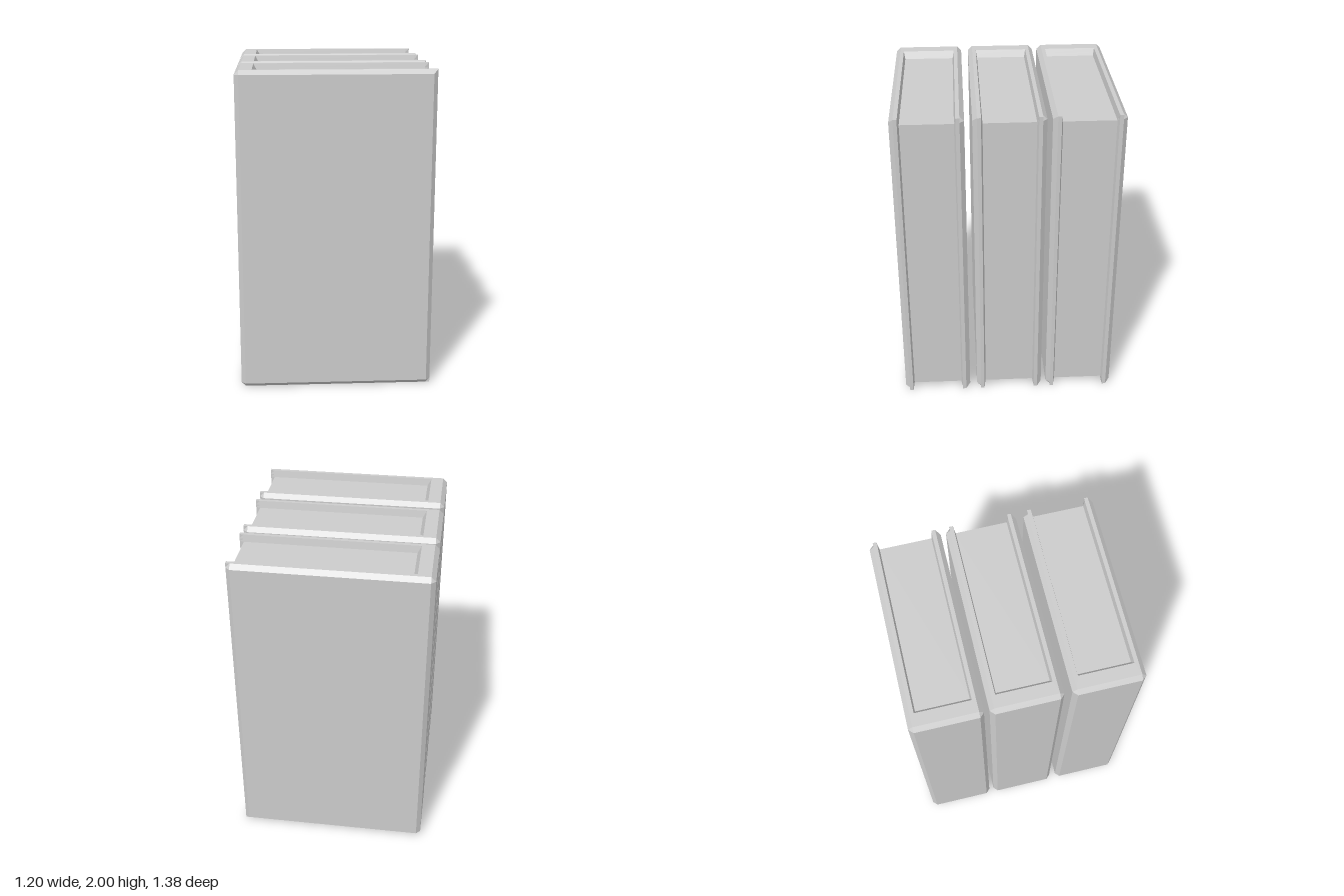
import * as THREE from 'three';

const HEIGHT = 2, HALF_X = 0.6, HALF_Z = 0.217;
const BEVEL = 0.027;            // chamfer on the outside of the cover
const PAGE_INSET = 0.045;       // pages sit below the cover's top and bottom
const PAGE_X = -0.472, PAGE_Z = 0.158;

// U-shaped outline of the cover: inset pulls the outside in, flare opens the inside
function coverSection(y, inset, flare) {
  const x = HALF_X, bx = HALF_X - BEVEL;
  const z = HALF_Z - inset, bz = HALF_Z - BEVEL;
  const iz = PAGE_Z + 0.008 * flare, ix = PAGE_X - 0.023 * flare;
  const half = [[x, bz], [bx, z], [-bx, z], [-x + inset, bz]];
  const inner = [[x, -PAGE_Z - 0.009], [bx, -iz], [ix, -iz]];
  const mirror = (pts) => pts.map(([px, pz]) => [px, -pz]).reverse();
  return [...half, ...mirror(half), ...inner, ...mirror(inner)]
    .map(([px, pz]) => new THREE.Vector3(px, y, pz));
}

function coverGeometry() {
  const rings = [
    coverSection(0, BEVEL, 1),
    coverSection(BEVEL, 0, 0.4),
    coverSection(PAGE_INSET, 0, 0),
    coverSection(HEIGHT - PAGE_INSET, 0, 0),
    coverSection(HEIGHT - BEVEL, 0, 0.4),
    coverSection(HEIGHT, BEVEL, 1),
  ];
  const points = [];
  const quad = (a, b, c, d) => points.push(a, b, c, a, c, d);

  // walls between neighbouring sections
  for (let r = 0; r < rings.length - 1; r++) {
    const lo = rings[r], hi = rings[r + 1], n = lo.length;
    for (let i = 0; i < n; i++) {
      const j = (i + 1) % n;
      quad(lo[j], lo[i], hi[i], hi[j]);
    }
  }
  // flat rims at the bottom and top: two boards and the spine
  const bottom = rings[0], top = rings[rings.length - 1];
  for (const [a, b, c, d] of [[0, 1, 12, 13], [1, 2, 11, 12], [3, 4, 10, 11], [5, 6, 9, 10], [6, 7, 8, 9]]) {
    quad(bottom[a], bottom[b], bottom[c], bottom[d]);
    quad(top[d], top[c], top[b], top[a]);
  }
  const geometry = new THREE.BufferGeometry().setFromPoints(points);
  geometry.computeVertexNormals();
  return geometry;
}

export function createModel() {
  const model = new THREE.Group();
  model.name = 'books';
  const material = new THREE.MeshStandardMaterial({ color: 0xcccccc, flatShading: true });
  const cover = coverGeometry();

  // page block, tucked slightly into the cover
  const foreEdge = HALF_X - BEVEL, tuck = 0.004;
  const pages = new THREE.BoxGeometry(
    foreEdge - PAGE_X + tuck, HEIGHT - 2 * PAGE_INSET, 2 * (PAGE_Z + tuck));
  pages.translate((foreEdge + PAGE_X - tuck) / 2, HEIGHT / 2, 0);

  // three equal books in a row
  [['frontBook', 0.473], ['middleBook', -0.007], ['backBook', -0.473]].forEach(([name, z]) => {
    const book = new THREE.Group();
    book.name = name;
    book.position.z = z;
    for (const [part, geometry] of [['cover', cover], ['pages', pages]]) {
      const mesh = new THREE.Mesh(geometry, material);
      mesh.name = part;
      book.add(mesh);
    }
    model.add(book);
  });
  return model;
}
